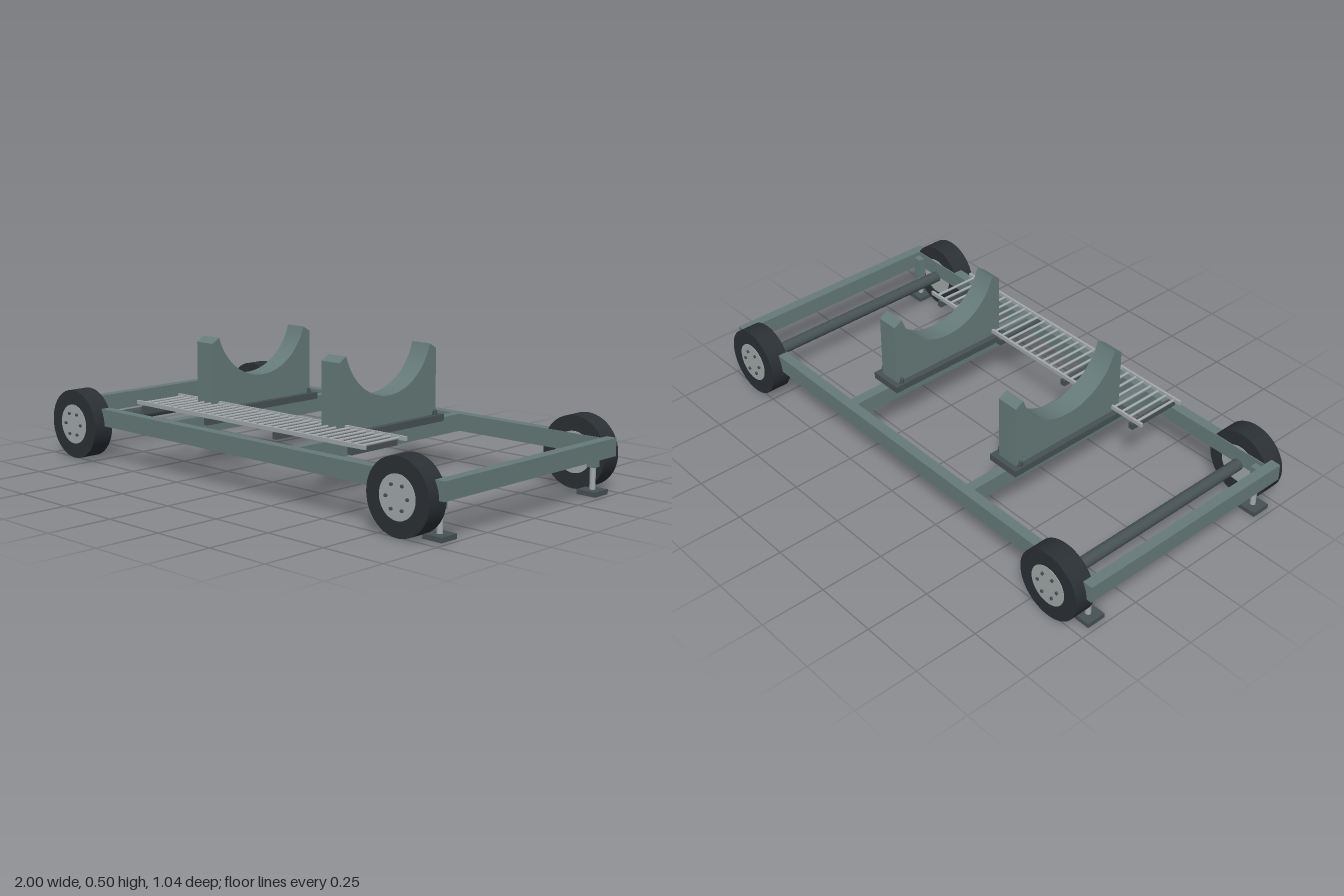
import * as THREE from 'three';

const paint = (color) => new THREE.MeshStandardMaterial({ color });
const teal = paint(0x667b7a);
const dark = paint(0x475254);
const rubber = paint(0x2b3035);
const steel = paint(0xa3a9ab);

export function createModel() {
  const root = new THREE.Group();
  root.name = 'cradleTrailer';

  const add = (parent, name, geo, mat, x, y, z) => {
    const m = new THREE.Mesh(geo, mat);
    m.name = name;
    m.position.set(x, y, z);
    parent.add(m);
    return m;
  };
  // box given by its size, centre in x and z, and bottom height
  const box = (parent, name, mat, w, h, d, x, y0, z) =>
    add(parent, name, new THREE.BoxGeometry(w, h, d), mat, x, y0 + h / 2, z);
  // cylinder running along z
  const rodZ = (parent, name, mat, r, len, x, y, z, seg = 32) =>
    add(parent, name, new THREE.CylinderGeometry(r, r, len, seg).rotateX(Math.PI / 2), mat, x, y, z);

  // Chassis: side rails, end beams and the two cross beams under the cradles
  const beamY = 0.14, beamH = 0.066;
  const cradleX = [-0.36, 0.3];
  for (const s of [-1, 1]) {
    box(root, 'sideRail', teal, 1.92, beamH, 0.04, 0, beamY, s * 0.448);
    box(root, 'endBeam', teal, 0.04, beamH, 0.936, s * 0.98, beamY, 0);
  }
  for (const x of cradleX) box(root, 'crossBeam', teal, 0.04, beamH, 0.858, x, beamY, 0);

  // Axles and wheels
  const axleX = 0.845, axleY = 0.137;
  for (const sx of [-1, 1]) {
    rodZ(root, 'axle', dark, 0.023, 0.88, sx * axleX, axleY, 0);
    for (const sz of [-1, 1]) {
      const wheel = new THREE.Group();
      wheel.name = 'wheel';
      wheel.position.set(sx * axleX, axleY, sz * 0.473);
      rodZ(wheel, 'tyre', rubber, 0.134, 0.082, 0, 0, 0, 48);
      rodZ(wheel, 'hub', steel, 0.077, 0.086, 0, 0, 0, 40);
      for (let i = 0; i < 6; i++) {
        const a = (i * Math.PI) / 3;
        rodZ(wheel, 'wheelNut', dark, 0.006, 0.01,
          Math.cos(a) * 0.046, Math.sin(a) * 0.046, sz * 0.044, 8);
      }
      root.add(wheel);
    }
  }

  // Corner jacks: sleeve, rod and foot pad
  for (const sx of [-1, 1]) for (const sz of [-1, 1]) {
    const jack = new THREE.Group();
    jack.name = 'jack';
    jack.position.set(sx * 0.94, 0, sz * 0.417);
    box(jack, 'sleeve', teal, 0.034, 0.09, 0.032, 0, 0.1, 0);
    add(jack, 'jackRod', new THREE.CylinderGeometry(0.011, 0.011, 0.09, 20), steel, 0, 0.06, 0);
    box(jack, 'footPad', dark, 0.08, 0.018, 0.076, 0, 0.001, 0);
    root.add(jack);
  }

  // Cradle saddle: block with a round bite out of its top, extruded along x
  const R = 0.232, cy = 0.567, end = Math.asin(0.222 / R);
  const profile = new THREE.Shape();
  profile.moveTo(-0.257, 0.23);
  profile.lineTo(0.257, 0.23);
  profile.lineTo(0.257, 0.48);
  profile.lineTo(0.222, 0.5);
  profile.absarc(0, cy, R, -Math.PI / 2 + end, -Math.PI / 2 - end, true);
  profile.lineTo(-0.257, 0.48);
  const saddleGeo = new THREE.ExtrudeGeometry(profile,
    { depth: 0.086, bevelEnabled: false, curveSegments: 40 });
  saddleGeo.translate(0, 0, -0.043).rotateY(Math.PI / 2);
  for (const x of cradleX) {
    const cradle = new THREE.Group();
    cradle.name = 'cradle';
    cradle.position.x = x;
    box(cradle, 'basePlate', dark, 0.134, 0.026, 0.556, 0, 0.206, 0);
    add(cradle, 'saddle', saddleGeo, teal, 0, 0, 0);
    for (const sx of [-1, 1]) for (const sz of [-1, 1])
      add(cradle, 'baseBolt', new THREE.CylinderGeometry(0.008, 0.008, 0.018, 12),
        dark, sx * 0.054, 0.241, sz * 0.242);
    root.add(cradle);
  }

  // Ladder walkway along the front: supports, rails and rungs
  const walkway = new THREE.Group();
  walkway.name = 'walkway';
  for (const x of [-0.512, -0.155, 0.205, 0.563])
    box(walkway, 'walkwaySupport', dark, 0.02, 0.024, 0.226, x, 0.218, 0.323);
  for (const z of [0.224, 0.426])
    box(walkway, 'walkwayRail', steel, 1.18, 0.015, 0.01, 0.035, 0.243, z);
  for (let i = 0; i < 30; i++)
    rodZ(walkway, 'rung', steel, 0.0055, 0.2, -0.525 + i * 0.0386, 0.25, 0.325, 10);
  root.add(walkway);

  return root;
}
